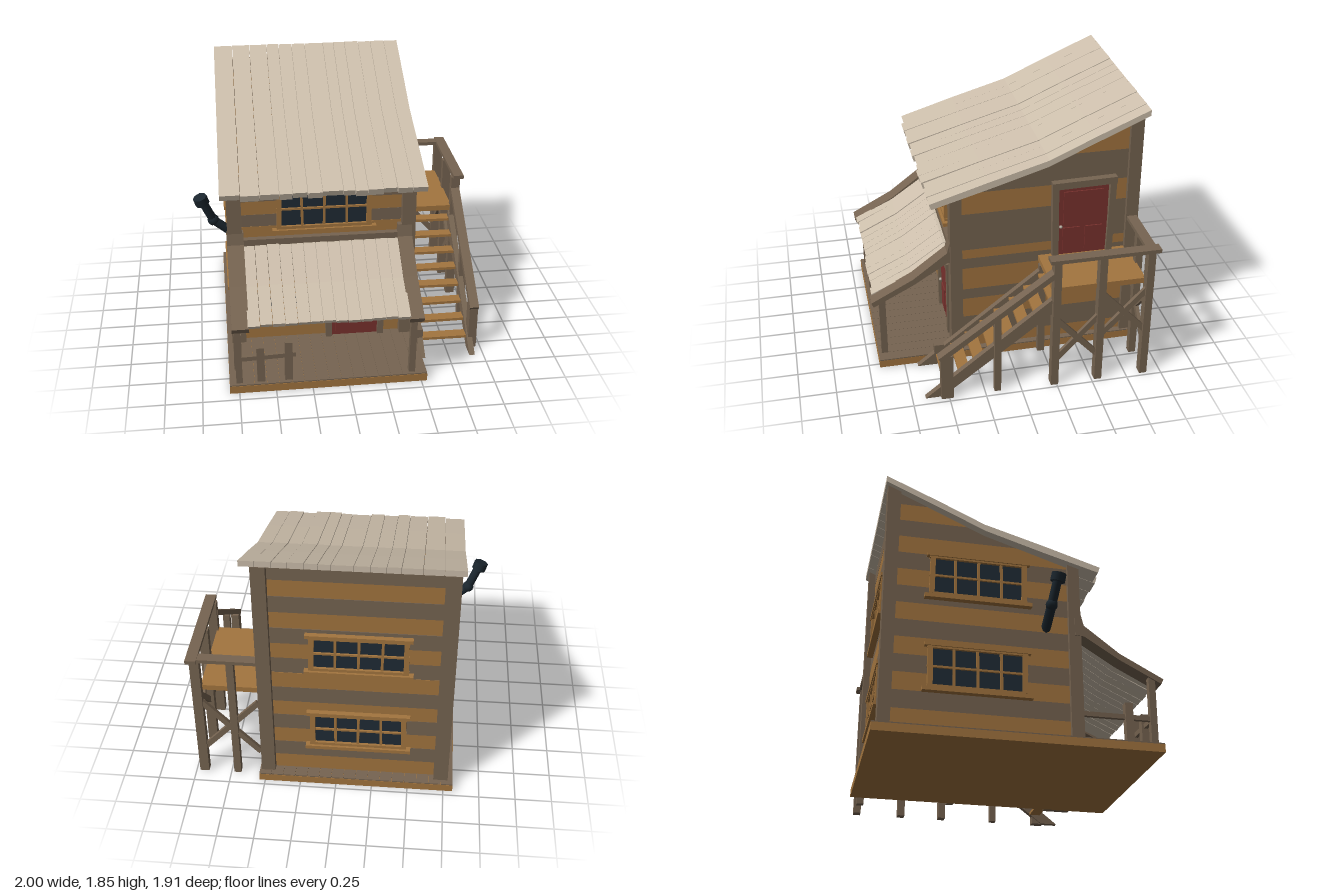
import * as THREE from 'three';

const mat = (name, color) => Object.assign(new THREE.MeshStandardMaterial({ color }), { name });
const shingle = mat('pale roof wood', 0xcdbfac);
const grey = mat('weathered wood', 0x766451);
const tan = mat('warm wood', 0xa3753f);
const red = mat('red paint', 0x7a322e);
const glass = mat('dark glass', 0x202b35);
const iron = mat('black iron', 0x1b262e);
const brass = mat('pale metal', 0xb9b3a6);

let seed = 7;
const rnd = (a) => { seed = (seed * 16807) % 2147483647; return (seed / 2147483647 * 2 - 1) * a; };

function add(parent, name, geo, material) {
  const m = new THREE.Mesh(geo, material);
  m.name = name;
  parent.add(m);
  return m;
}
// Box given by its min and max on each axis
function box(parent, name, m, x0, x1, y0, y1, z0, z1) {
  const b = add(parent, name, new THREE.BoxGeometry(x1 - x0, y1 - y0, z1 - z0), m);
  b.position.set((x0 + x1) / 2, (y0 + y1) / 2, (z0 + z1) / 2);
  return b;
}
// Straight timber between two points
function beam(parent, name, a, b, w, h) {
  const p = new THREE.Vector3(...a), q = new THREE.Vector3(...b);
  const t = add(parent, name, new THREE.BoxGeometry(w, h, p.distanceTo(q)), grey);
  t.position.copy(p).add(q).multiplyScalar(0.5);
  t.lookAt(q);
}
// Side profile of [z, y] points, extruded from x0 to x1
function profile(parent, name, m, pts, x0, x1) {
  const s = new THREE.Shape(pts.map(([z, y]) => new THREE.Vector2(z, y)));
  const g = new THREE.ExtrudeGeometry(s, { depth: x1 - x0, bevelEnabled: false });
  g.rotateY(-Math.PI / 2);
  g.translate(x1, 0, 0);
  return add(parent, name, g, m);
}

// Underside of the roof: z where it meets height y
function roofZ(y) {
  if (y <= 1.305) return 0.35;
  if (y <= 1.495) return 0.35 - (y - 1.305) / 0.19 * 0.6;
  return -0.25 - (y - 1.495) / 0.305 * 0.68;
}

// Window facing +z, centred on its origin
function windowUnit(w, h, cols) {
  const g = new THREE.Group();
  g.name = 'window';
  box(g, 'glass', glass, -w / 2, w / 2, -h / 2, h / 2, -0.01, 0.008);
  for (let i = 0; i <= cols; i++) {
    const x = -w / 2 + w * i / cols, e = i % cols ? 0.009 : 0.017;
    const bar = box(g, 'windowBar', tan, x - e, x + e, -h / 2, h / 2, 0, e + 0.012);
    bar.rotation.z = rnd(0.025);
  }
  for (const [y, e] of [[-h / 2, 0.013], [0, 0.007], [h / 2, 0.013]])
    box(g, 'windowRail', tan, -w / 2 - 0.02, w / 2 + 0.02, y - e, y + e, 0, e + 0.014);
  box(g, 'windowSill', tan, -w / 2 - 0.05, w / 2 + 0.05, -h / 2 - 0.035, -h / 2 - 0.008, 0, 0.043);
  box(g, 'windowHead', tan, -w / 2 - 0.04, w / 2 + 0.04, h / 2, h / 2 + 0.025, 0, 0.035);
  return g;
}

// Small porch window with tall side boards, centred on its glass
function porchWindow() {
  const g = new THREE.Group();
  g.name = 'porchWindow';
  box(g, 'glass', glass, -0.1, 0.1, -0.06, 0.05, -0.01, 0.008);
  box(g, 'windowBar', tan, -0.006, 0.006, -0.06, 0.05, 0, 0.015).rotation.z = 0.04;
  for (const s of [-1, 1]) box(g, 'windowSide', tan, s * 0.118 - 0.022, s * 0.118 + 0.022, -0.06, 0.15, 0, 0.03).rotation.z = s * 0.03;
  box(g, 'windowHead', tan, -0.1, 0.1, 0.05, 0.072, 0, 0.026);
  box(g, 'windowSill', tan, -0.16, 0.16, -0.09, -0.05, 0, 0.04).rotation.z = 0.03;
  return g;
}

// Panelled door facing +z, standing on its origin
function doorUnit(w, h) {
  const g = new THREE.Group();
  g.name = 'door';
  box(g, 'doorLeaf', red, -w / 2, w / 2, 0, h, -0.01, 0.015);
  const panel = (x0, x1, y0, y1) => box(g, 'doorPanel', red, x0, x1, y0, y1, 0.01, 0.024);
  panel(-w * 0.4, w * 0.4, h * 0.46, h * 0.93);
  panel(-w * 0.4, -w * 0.05, h * 0.06, h * 0.4);
  panel(w * 0.05, w * 0.4, h * 0.06, h * 0.4);
  for (const s of [-1, 1]) {
    const j = box(g, 'doorJamb', grey, s * (w / 2 + 0.022) - 0.022, s * (w / 2 + 0.022) + 0.022, 0, h + 0.01, -0.01, 0.04);
    j.rotation.z = s * -0.02;
  }
  box(g, 'doorLintel', grey, -w / 2 - 0.05, w / 2 + 0.05, h, h + 0.05, -0.01, 0.045).rotation.z = 0.02;
  const knob = add(g, 'doorKnob', new THREE.SphereGeometry(0.012, 8, 6), brass);
  knob.position.set(-w * 0.45, h * 0.43, 0.028);
  return g;
}

function place(parent, unit, x, y, z, turn = 0) {
  unit.position.set(x, y, z);
  unit.rotation.y = turn;
  parent.add(unit);
}

function walls(g) {
  const frontY = [0.06, 0.25, 0.44, 0.55, 0.84, 0.97, 1.06, 1.16, 1.31];
  const rightY = [0.06, 0.15, 0.32, 0.47, 0.55, 0.72, 0.8, 0.87, 1.15, 1.31, 1.53, 1.775];
  const evenY = Array.from({ length: 15 }, (_, i) => Math.min(1.775, 0.06 + i * 0.124));
  const each = (ys, f) => ys.slice(1).forEach((y1, i) => f(ys[i], y1, i % 2 ? grey : tan));
  each(frontY, (a, b, m) => box(g, 'frontPlank', m, -0.73, 0.47, a, b, 0.31, 0.355 + rnd(0.004)));
  each(evenY, (a, b, m) => box(g, 'backPlank', m, -0.73, 0.47, a, b, -0.875 + rnd(0.004), -0.83));
  // Side planks are cut along the roof slope
  const side = (name, x0, x1) => (a, b, m) => {
    const knees = [1.305, 1.495].filter((y) => y > a && y < b);
    const edge = [a, ...knees, b].map((y) => [roofZ(y), y]);
    profile(g, name, m, [[-0.875, a], ...edge, [-0.875, b]], x0, x1);
  };
  each(rightY, side('rightPlank', 0.455, 0.495));
  each(evenY, side('leftPlank', -0.75, -0.71));
  // Corner posts
  for (const [x0, x1] of [[-0.78, -0.68], [0.43, 0.525]]) {
    profile(g, 'frontCornerPost', grey, [[0.32, 0.06], [0.405, 0.06], [0.4, 1.3], [0.32, 1.325]], x0, x1);
    profile(g, 'backCornerPost', grey, [[-0.92, 0.06], [-0.84, 0.06], [-0.83, 1.75], [-0.92, 1.79]], x0, x1);
  }
  box(g, 'porchLedger', grey, -0.69, 0.44, 0.84, 0.89, 0.34, 0.4);
}

function roofs(g) {
  // Main roof, plank by plank, slightly skewed from front to back
  const xs = [-0.818, -0.68, -0.55, -0.42, -0.33, -0.23, -0.13, 0.01, 0.09, 0.175, 0.28, 0.375, 0.48, 0.582];
  const skew = new THREE.Matrix4().makeShear(0, 0, 0, 0, -0.012, 0);
  for (let i = 0; i + 1 < xs.length; i++) {
    const d = rnd(0.012), t = rnd(0.003);
    profile(g, 'roofPlank', shingle, [
      [0.533 + d, 1.257 - d * 0.3], [0.15, 1.37], [-0.25, 1.495], [-0.58, 1.645], [-0.935, 1.805],
      [-0.935, 1.848 + t], [-0.58, 1.692 + t], [-0.26, 1.545 + t], [0.15, 1.423 + t], [0.547 + d, 1.3 + t],
    ], xs[i] + 0.0015, xs[i + 1] - 0.0015).geometry.applyMatrix4(skew);
  }
  // Sagging porch roof
  const n = 13, px = (i) => -0.68 + i * 1.09 / n;
  for (let i = 0; i < n; i++) {
    const d = rnd(0.012), t = rnd(0.004);
    profile(g, 'porchRoofPlank', shingle, [
      [0.37, 0.81], [0.42, 0.8], [0.66, 0.642], [0.925 + d, 0.515],
      [0.935 + d, 0.54 + t], [0.66, 0.677 + t], [0.42, 0.845 + t], [0.37, 0.85 + t],
    ], px(i) + 0.0015, px(i + 1) - 0.0015);
  }
  for (const [x0, x1] of [[-0.785, -0.67], [0.4, 0.5]])
    profile(g, 'porchRafter', grey, [
      [0.36, 0.79], [0.42, 0.785], [0.66, 0.635], [0.94, 0.49], [0.955, 0.525], [0.66, 0.682], [0.42, 0.865], [0.4, 0.95], [0.36, 0.95],
    ], x0, x1);
}

function porch(g) {
  box(g, 'base', tan, -0.815, 0.54, 0, 0.055, -0.96, 0.925);
  for (let i = 0; i < 16; i++) {
    const x = -0.815 + i * 1.355 / 16;
    box(g, 'floorPlank', grey, x + 0.001, x + 0.084, 0.05, 0.063, -0.958, 0.922);
  }
  for (const x of [-0.75, 0.44]) box(g, 'porchPost', grey, x - 0.022, x + 0.022, 0.06, 0.54, 0.855, 0.9).rotation.z = rnd(0.03);
  // Broken railing
  for (const [x, z, h] of [[-0.6, 0.87, 0.33], [-0.41, 0.87, 0.36], [-0.75, 0.71, 0.34]])
    box(g, 'railingPost', grey, x - 0.026, x + 0.026, 0.06, h, z - 0.026, z + 0.026).rotation.z = rnd(0.04);
  beam(g, 'frontRail', [-0.76, 0.24, 0.87], [-0.36, 0.255, 0.87], 0.025, 0.032);
  beam(g, 'sideRail', [-0.75, 0.245, 0.38], [-0.75, 0.245, 0.87], 0.025, 0.032);
}

function landing(g) {
  box(g, 'landingFloor', tan, 0.49, 0.92, 0.725, 0.765, -0.86, -0.22);
  // Posts down the outer side, the wall side and the back
  for (const z of [-0.235, -0.545, -0.875]) box(g, 'landingPost', grey, 0.91, 0.975, 0, 1, z - 0.026, z + 0.026);
  box(g, 'innerPost', grey, 0.54, 0.58, 0, 0.73, -0.26, -0.21);
  box(g, 'backPost', grey, 0.68, 0.73, 0, 1, -0.9, -0.85);
  box(g, 'sideHandrail', grey, 0.92, 0.995, 0.998, 1.025, -0.93, -0.18);
  box(g, 'backHandrail', grey, 0.52, 0.98, 0.996, 1.022, -0.91, -0.84);
  // Crossed braces
  const cross = (p, q, y0, y1) => {
    beam(g, 'brace', [p[0], y0, p[1]], [q[0], y1, q[1]], 0.025, 0.04);
    beam(g, 'brace', [p[0], y1, p[1]], [q[0], y0, q[1]], 0.024, 0.04);
  };
  cross([0.945, -0.24], [0.945, -0.54], 0.2, 0.53);
  cross([0.945, -0.55], [0.945, -0.87], 0.36, 0.7);
  cross([0.53, -0.875], [0.94, -0.875], 0.2, 0.65);
}

function stairs(g) {
  for (let i = 0; i < 8; i++) {
    const y = 0.075 + i * 0.083, z = 0.49 - i * 0.104;
    box(g, 'stairTread', tan, 0.55, 0.93, y - 0.01, y + 0.01, z - 0.04, z + 0.04).rotation.y = rnd(0.02);
  }
  for (const [x0, x1] of [[0.54, 0.58], [0.9, 0.94]])
    profile(g, 'stairStringer', grey, [[0.66, 0], [0.54, 0], [-0.25, 0.605], [-0.25, 0.72]], x0, x1);
  box(g, 'lowerStairPost', grey, 0.91, 0.97, 0, 0.35, 0.47, 0.555);
  box(g, 'middleStairPost', grey, 0.91, 0.96, 0, 0.6, 0.14, 0.185);
  box(g, 'innerStairPost', grey, 0.535, 0.58, 0, 0.16, 0.47, 0.54);
  beam(g, 'stairHandrail', [0.94, 0.325, 0.56], [0.94, 0.905, -0.23], 0.065, 0.038);
}

function pipe(g) {
  const pts = [[-0.72, 0.82, 0.17], [-0.87, 0.95, 0.18], [-0.935, 1.1, 0.205]].map((p) => new THREE.Vector3(...p));
  const up = new THREE.Vector3(0, 1, 0);
  const tube = (name, a, b, r) => {
    const m = add(g, name, new THREE.CylinderGeometry(r, r, a.distanceTo(b), 8), iron);
    m.position.copy(a).add(b).multiplyScalar(0.5);
    m.quaternion.setFromUnitVectors(up, b.clone().sub(a).normalize());
  };
  tube('stovePipe', pts[0], pts[1], 0.033);
  tube('stovePipe', pts[1], pts[2], 0.031);
  add(g, 'pipeElbow', new THREE.IcosahedronGeometry(0.041, 1), iron).position.copy(pts[1]);
  tube('pipeCap', new THREE.Vector3(-0.938, 1.09, 0.204), new THREE.Vector3(-0.955, 1.145, 0.213), 0.05);
}

export function createModel() {
  const root = new THREE.Group();
  root.name = 'cabin';
  for (const [name, build] of Object.entries({ walls, roofs, porch, landing, stairs, pipe })) {
    const g = new THREE.Group();
    g.name = name;
    build(g);
    root.add(g);
  }
  // Openings
  place(root, windowUnit(0.62, 0.28, 4), -0.11, 1.1, 0.36);
  place(root, porchWindow(), -0.4, 0.36, 0.36);
  for (const y of [0.46, 1.12]) {
    place(root, windowUnit(0.62, 0.26, 4), -0.15, y, -0.88, Math.PI);
    place(root, windowUnit(0.62, 0.28, 4), -0.75, y + 0.02, -0.29, -Math.PI / 2);
  }
  place(root, doorUnit(0.34, 0.54), 0.105, 0.063, 0.36);
  place(root, doorUnit(0.35, 0.53), 0.5, 0.765, -0.525, Math.PI / 2);
  return root;
}
